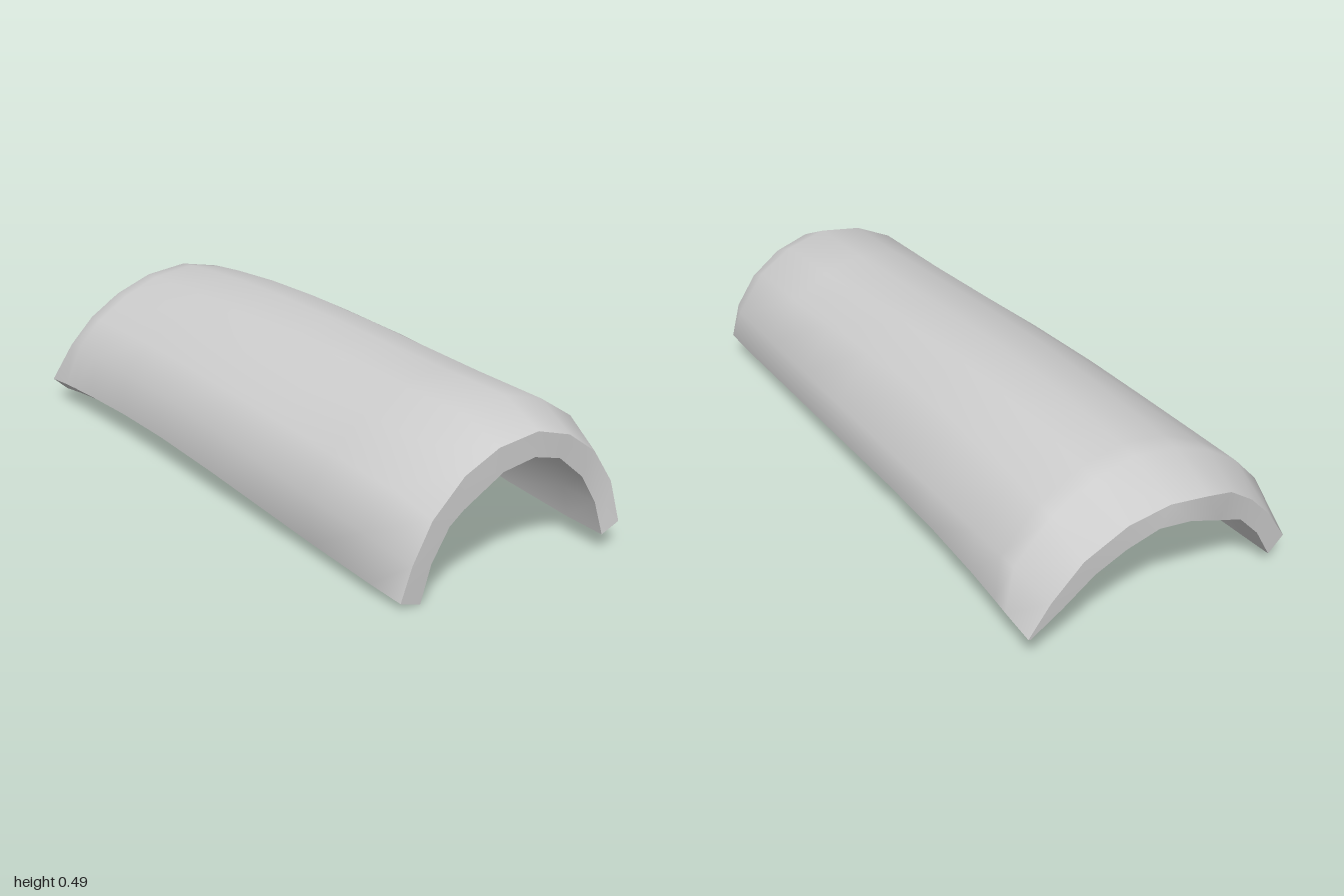
import * as THREE from 'three';

// Arch profiles run from the -x foot over the crown to the +x foot: [x, y] pairs.
const OUTER = {
  frontEnd: [[-.35, .022], [-.32, .12], [-.26, .23], [-.165, .33], [-.06, .385], [.065, .405], [.18, .37], [.28, .3], [.345, .2], [.37, .08]],
  front: [[-.367, .036], [-.387, .185], [-.31, .29], [-.2, .385], [-.08, .443], [.06, .465], [.19, .43], [.3, .36], [.392, .235], [.378, .085]],
  middle: [[-.41, .1], [-.402, .238], [-.32, .325], [-.22, .4], [-.112, .46], [.035, .492], [.16, .472], [.295, .402], [.418, .262], [.412, .13]],
  back: [[-.435, .088], [-.405, .23], [-.325, .315], [-.22, .385], [-.1, .435], [.04, .455], [.17, .43], [.3, .365], [.415, .25], [.438, .112]],
  backEnd: [[-.44, .08], [-.37, .18], [-.29, .262], [-.2, .325], [-.1, .36], [.02, .372], [.15, .35], [.28, .285], [.375, .19], [.435, .093]],
};
const INNER = {
  front: [[-.288, .003], [-.26, .11], [-.205, .2], [-.165, .238], [-.042, .315], [.058, .335], [.15, .31], [.24, .235], [.29, .15], [.31, .055]],
  middle: [[-.348, .066], [-.31, .175], [-.25, .255], [-.175, .312], [-.055, .36], [.05, .374], [.155, .345], [.25, .285], [.325, .2], [.36, .1]],
  back: [[-.39, .035], [-.33, .133], [-.255, .21], [-.165, .247], [-.045, .302], [.05, .308], [.15, .277], [.242, .23], [.338, .158], [.382, .078]],
};
// Slightly uneven end cuts
const FRONT_Z = [.97, .975, .975, .98, .985, .99, .985, .98, .985, 1];
const BACK_Z = [-.96, -.965, -.97, -.98, -1, -.99, -.983, -.975, -.97, -.96];
const MIDDLE_Z = -.2;

// Profile at z, easing up from the front to the middle and down to the back
function profileAt(p, zFront, zBack, z) {
  const inFront = z > MIDDLE_Z;
  const end = inFront ? p.front : p.back;
  const t = inFront
    ? 1 - THREE.MathUtils.smoothstep(z, MIDDLE_Z, zFront)
    : 1 - ((z - MIDDLE_Z) / (zBack - MIDDLE_Z)) ** 2;
  return end.map((e, i) => e.map((v, k) => THREE.MathUtils.lerp(v, p.middle[i][k], t)));
}

const place = (profile, z) => profile.map(([x, y], i) => new THREE.Vector3(x, y, z[i] ?? z));

// Smooth sheet through rows of points
function sheet(name, rows, material) {
  const n = rows[0].length, index = [];
  for (let r = 0; r < rows.length - 1; r++) {
    for (let i = 0; i < n - 1; i++) {
      const a = r * n + i, b = a + n;
      index.push(a, a + 1, b, a + 1, b + 1, b);
    }
  }
  const geometry = new THREE.BufferGeometry().setFromPoints(rows.flat());
  geometry.setIndex(index);
  geometry.computeVertexNormals();
  const mesh = new THREE.Mesh(geometry, material);
  mesh.name = name;
  return mesh;
}

export function createModel() {
  const group = new THREE.Group();
  group.name = 'archedTile';
  const material = new THREE.MeshStandardMaterial({ color: 0xcccccc });

  // Rows from front to back
  const stations = [.86, .6, .35, .1, -.2, -.45, -.68, -.8, -.86];
  const outer = [
    place(OUTER.frontEnd, FRONT_Z),
    ...stations.map(z => place(profileAt(OUTER, .86, -.86, z), z)),
    place(OUTER.backEnd, BACK_Z),
  ];
  const inner = [
    place(INNER.front, FRONT_Z),
    ...stations.map(z => place(profileAt(INNER, .98, -.97, z), z)),
    place(INNER.back, BACK_Z),
  ];

  // Chipped inner corner at the back of the +x foot
  for (let r = inner.length - 3; r < inner.length; r++) inner[r][9].lerp(outer[r][9], .85);

  const last = outer.length - 1;
  group.add(
    sheet('outerShell', outer, material),
    sheet('innerShell', inner.map(row => [...row].reverse()), material),
    sheet('rightFoot', outer.map((row, r) => [inner[r][0], row[0]]), material),
    sheet('leftFoot', outer.map((row, r) => [row[9], inner[r][9]]), material),
    sheet('frontRim', [inner[0], outer[0]], material),
    sheet('backRim', [outer[last], inner[last]], material),
  );
  return group;
}
